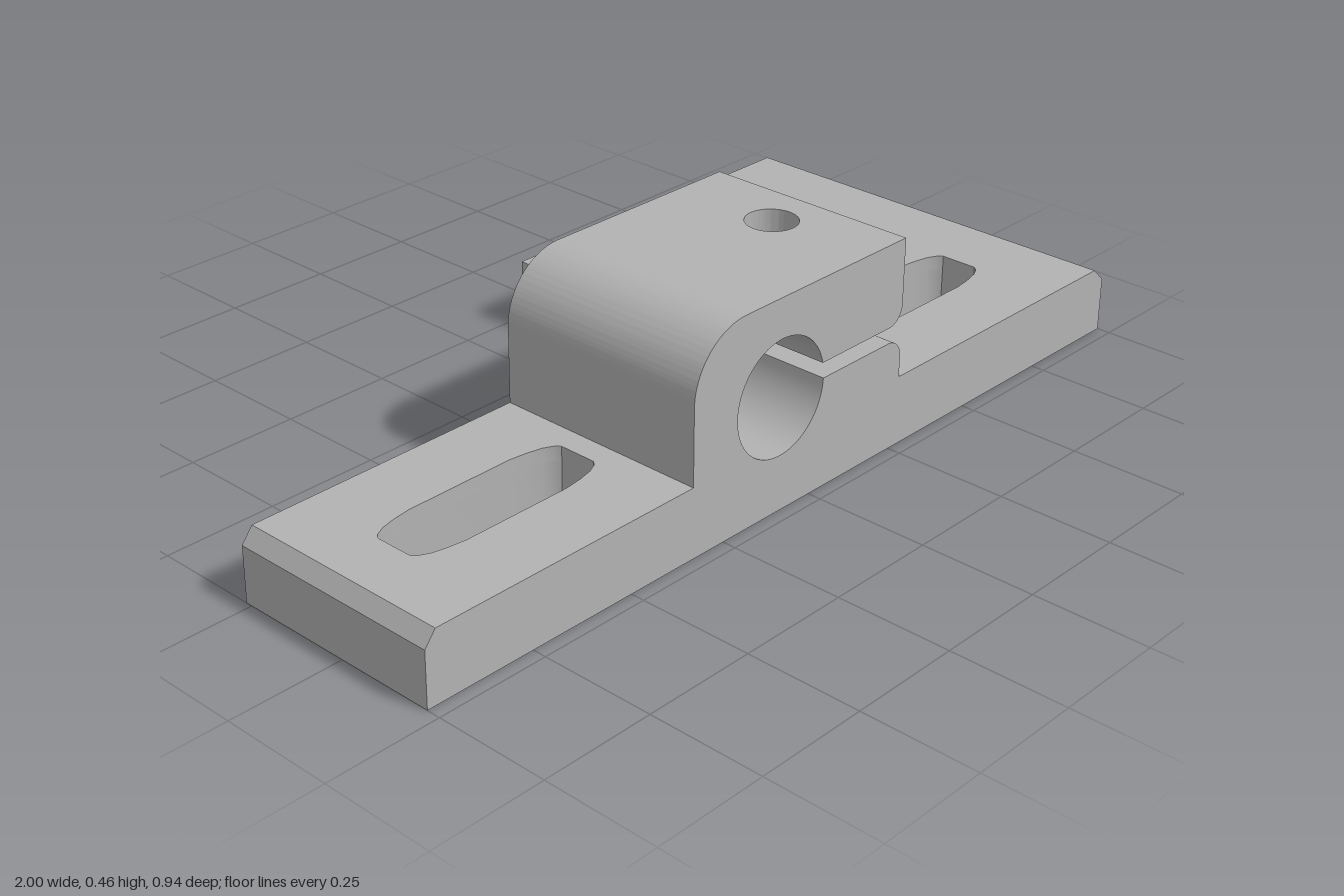
import * as THREE from 'three';
import { toCreasedNormals } from 'three/addons/utils/BufferGeometryUtils.js';

const FRONT = 0.47, MID = -0.015, BACK = -0.47; // z limits
const STEP = 0.121, DECK = 0.153;               // chamfer start and plate top
const GAP_LOW = 0.241, GAP_HIGH = 0.275, TOP = 0.457;
const BOLT = { x: 0.16, z: 0.225, r: 0.055 };
const JAW_START = 0.06, LIP = 0.235, JAW_END = 0.275;

const polygon = (points) => new THREE.Shape(points.map(([x, y]) => new THREE.Vector2(x, y)));

// Outline given as [x, z] pairs for parts extruded upwards
const plan = (points) => polygon(points.map(([x, z]) => [x, -z]));

const rectangle = (x0, x1) => plan([[x0, FRONT], [x1, FRONT], [x1, MID], [x0, MID]]);

// Elongated mounting slot with blunt, rounded ends
function slot(cx, cz) {
  const quarter = [[0.23, 0.042], [0.222, 0.052], [0.2, 0.063], [0.165, 0.071], [0.125, 0.076]];
  const flipped = [...quarter].reverse();
  return plan([
    ...quarter.map(([x, z]) => [cx + x, cz + z]),
    ...flipped.map(([x, z]) => [cx - x, cz + z]),
    ...quarter.map(([x, z]) => [cx - x, cz - z]),
    ...flipped.map(([x, z]) => [cx + x, cz - z]),
  ]);
}

function boltHole() {
  const path = new THREE.Path();
  path.absarc(BOLT.x, -BOLT.z, BOLT.r, 0, Math.PI * 2, true);
  return path;
}

// Six-sided nut pocket, corners pointing to front and back
function nutPocket() {
  const points = [];
  for (let i = 0; i < 6; i++) {
    const a = Math.PI / 6 + (i * Math.PI) / 3;
    points.push([BOLT.x + 0.103 * Math.cos(a), BOLT.z + 0.103 * Math.sin(a)]);
  }
  return plan(points);
}

export function createModel() {
  const group = new THREE.Group();
  group.name = 'clampBracket';
  const grey = new THREE.MeshStandardMaterial({ color: 0xb2b2b2 });
  grey.name = 'plain grey';

  const add = (name, geometry) => {
    const mesh = new THREE.Mesh(toCreasedNormals(geometry, 0.55), grey);
    mesh.name = name;
    group.add(mesh);
  };
  const extrude = (shape, depth) =>
    new THREE.ExtrudeGeometry(shape, { depth, bevelEnabled: false, curveSegments: 32 });
  const addUp = (name, shape, y0, y1, holes = []) => {
    shape.holes.push(...holes);
    add(name, extrude(shape, y1 - y0).rotateX(-Math.PI / 2).translate(0, y0, 0));
  };
  const addAlongZ = (name, shape, z0, z1) => add(name, extrude(shape, z1 - z0).translate(0, 0, z0));

  const leftSlot = () => slot(0.57, 0.227);
  const rightSlot = () => slot(-0.62, 0.225);

  // Base plate: L-shaped lower layer
  addUp('basePlate', plan([
    [-1, FRONT], [1, FRONT], [1, BACK], [0.14, BACK], [0.14, MID], [-1, MID],
  ]), 0, STEP, [leftSlot(), rightSlot(), nutPocket()]);

  // Upper layer on either side of the clamp
  addUp('leftDeck', plan([
    [JAW_END, FRONT], [0.967, FRONT], [0.967, BACK], [0.14, BACK], [0.14, MID], [JAW_END, MID],
  ]), STEP, DECK, [leftSlot()]);
  addUp('rightDeck', rectangle(-0.975, -0.335), STEP, DECK, [rightSlot()]);

  // Chamfered end edges
  addAlongZ('leftChamfer', polygon([[0.967, STEP], [1, STEP], [0.967, DECK]]), BACK, FRONT);
  addAlongZ('rightChamfer', polygon([[-1, STEP], [-0.975, STEP], [-0.975, DECK]]), MID, FRONT);

  // Clamp body wrapped around the bore
  const cx = -0.09, cy = 0.246, r = 0.1245;
  const low = Math.asin((GAP_LOW - cy) / r), high = Math.asin((GAP_HIGH - cy) / r);
  const body = new THREE.Shape();
  body.moveTo(-0.335, STEP);
  body.lineTo(-0.335, TOP - 0.14);
  body.absarc(-0.195, TOP - 0.14, 0.14, Math.PI, Math.PI / 2, true);
  body.lineTo(JAW_START, TOP);
  body.lineTo(JAW_START, GAP_HIGH);
  body.absarc(cx, cy, r, high, Math.PI * 2 + low, false);
  body.lineTo(JAW_START, GAP_LOW);
  body.lineTo(JAW_START, STEP);
  addAlongZ('clampBody', body, MID, FRONT);

  // Jaws with the bolt hole
  addUp('lowerJaw', rectangle(JAW_START, LIP), STEP, GAP_LOW, [boltHole()]);
  addUp('upperJaw', rectangle(JAW_START, LIP), GAP_HIGH, TOP, [boltHole()]);

  // Rounded jaw lips
  const radius = JAW_END - LIP;
  const lowerLip = new THREE.Shape();
  lowerLip.moveTo(LIP, STEP);
  lowerLip.lineTo(JAW_END, STEP);
  lowerLip.absarc(LIP, GAP_LOW - radius, radius, 0, Math.PI / 2, false);
  addAlongZ('lowerLip', lowerLip, MID, FRONT);

  const upperLip = new THREE.Shape();
  upperLip.moveTo(LIP, TOP);
  upperLip.lineTo(LIP, GAP_HIGH);
  upperLip.absarc(LIP, GAP_HIGH + radius, radius, -Math.PI / 2, 0, false);
  upperLip.lineTo(JAW_END, TOP);
  addAlongZ('upperLip', upperLip, MID, FRONT);

  return group;
}
